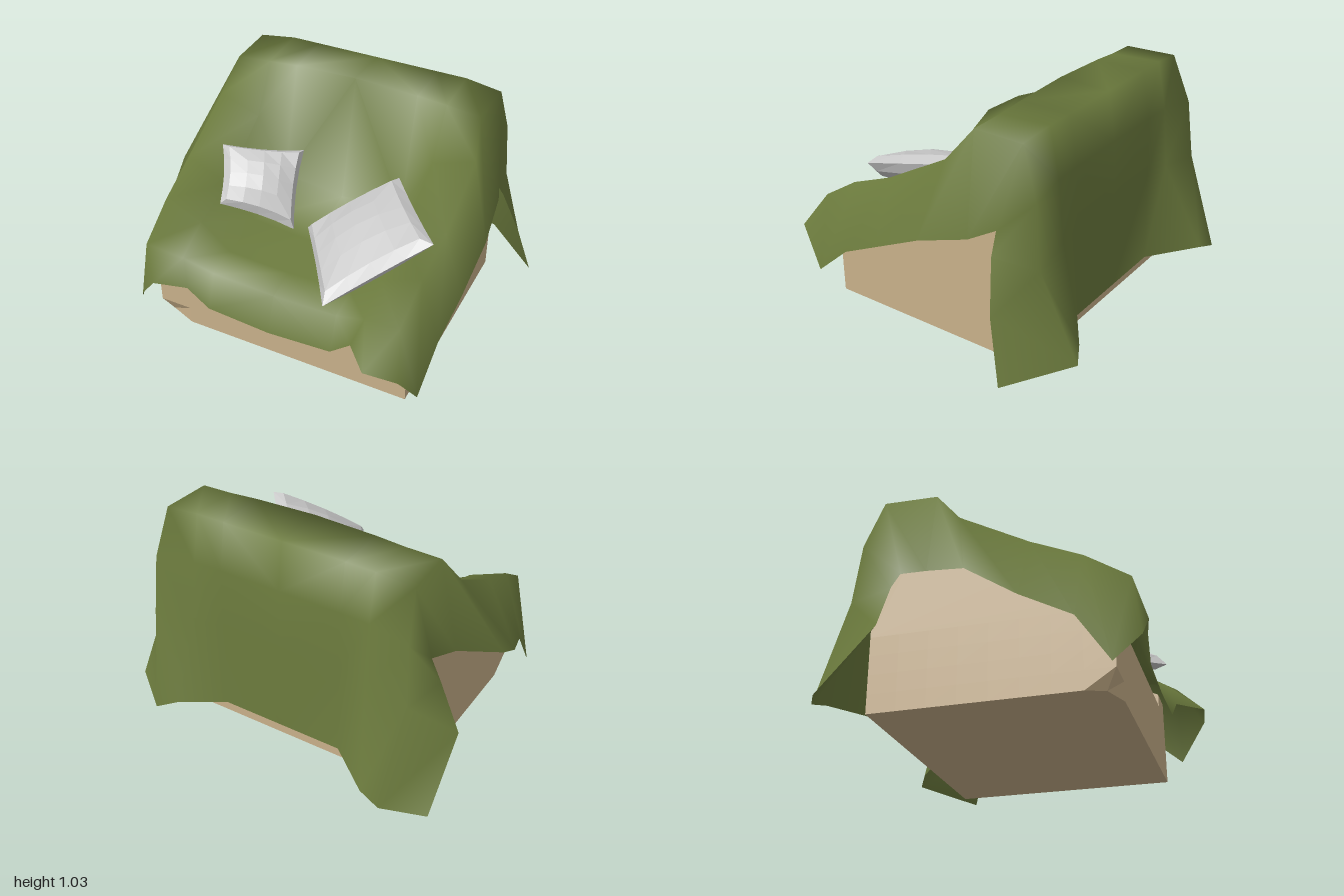
import * as THREE from 'three';

const tan = new THREE.MeshStandardMaterial({ color: 0xc8b08a, flatShading: true });
const grey = new THREE.MeshStandardMaterial({ color: 0xcccccc, flatShading: true });
const cloth = new THREE.MeshStandardMaterial({ color: 0x6b7a3d, side: THREE.DoubleSide });

function add(parent, name, geometry, material) {
  const mesh = new THREE.Mesh(geometry, material);
  mesh.name = name;
  parent.add(mesh);
  return mesh;
}

// Half cross-sections of the blanket, middle to side hem: [y, z, x], x from the column unless given
const columnX = [0, .3, .44, .635];
const sections = [
  [[.09, -.56], [.09, -.56], [.1, -.69, .49], [.07, -.74, .58], [.03, -.53, .84]], // back hem
  [[.52, -.55], [.52, -.55], [.52, -.57], [.5, -.6, .65], [.3, -.45, .78]],        // back
  [[.8, -.54], [.8, -.54], [.8, -.545], [.78, -.57], [.52, -.4, .7]],
  [[1.02, -.5], [1.02, -.5], [1.02, -.5], [1, -.49, .61], [.61, -.385, .645]],     // ridge, back
  [[1.03, -.26], [1.02, -.26], [1.01, -.26], [1, -.25, .6], [.57, -.29, .71]],     // ridge, front
  [[.46, -.13], [.49, -.13], [.78, -.13], [.85, -.13], [.5, -.05, .74]],           // back of seat
  [[.41, .18], [.43, .18], [.59, .18], [.68, .18], [.38, .2, .73]],                // seat
  [[.39, .4], [.4, .4], [.52, .4], [.59, .4, .62], [.28, .4, .71]],
  [[.365, .54], [.38, .54], [.43, .56], [.47, .59, .61], [.12, .585, .7]],         // front lip
  [[.2, .6], [.22, .6], [.31, .61, .4], [.31, .73, .51], [.3, .71, .66]],          // front hem
];
// Where the hem falls differently on the right side, by row and column
const rightHem = {
  '0,2': [.1, -.74, .52], '0,3': [.07, -.76, .62], '0,4': [.03, -.66, .8], '1,4': [.3, -.41, .8],
  '4,4': [.58, -.25, .69], '5,4': [.49, -.04, .82], '6,4': [.36, .17, .79], '7,4': [.27, .38, .73],
  '8,4': [.06, .52, .73], '9,3': [.3, .64, .56], '9,4': [.2, .625, .64],
};

// Mirror each half section and join neighbouring sections with faces
function blanketGeometry() {
  const positions = [], index = [], columns = 9;
  sections.forEach((half, row) => {
    for (let c = -4; c <= 4; c++) {
      const i = Math.abs(c);
      const [y, z, x = columnX[i]] = (c < 0 && rightHem[`${row},${i}`]) || half[i];
      positions.push(Math.sign(c) * x, y, z);
    }
    if (row === 0) return;
    for (let c = 0; c < columns - 1; c++) {
      const a = (row - 1) * columns + c, b = a + 1, d = a + columns, e = d + 1;
      // diagonals mirror about the middle
      if (c < 4) index.push(a, d, b, b, d, e);
      else index.push(a, d, e, a, e, b);
    }
  });
  const g = new THREE.BufferGeometry();
  g.setAttribute('position', new THREE.Float32BufferAttribute(positions, 3));
  g.setIndex(index);
  g.computeVertexNormals();
  return g;
}

// Cushion stretched between four corners, swollen in the middle, with hollow edges
function cushionGeometry(corners, bulge, pinch) {
  const [A, B, C, D] = corners.map((p) => new THREE.Vector3(...p));
  const normal = D.clone().sub(A).cross(B.clone().sub(A)).normalize();
  const g = new THREE.BoxGeometry(2, 2, 2, 4, 2, 4), pos = g.attributes.position;
  const p = new THREE.Vector3();
  for (let i = 0; i < pos.count; i++) {
    const x = pos.getX(i), y = pos.getY(i), z = pos.getZ(i);
    const rim = y === 0 ? 1 : .86;
    const s = (1 + rim * x * (1 - pinch * (1 - z * z))) / 2;
    const t = (1 + rim * z * (1 - pinch * (1 - x * x))) / 2;
    const h = .028 + bulge * (1 - x * x * .7) * (1 - z * z * .7);
    p.set(0, 0, 0)
      .addScaledVector(A, (1 - s) * (1 - t)).addScaledVector(B, s * (1 - t))
      .addScaledVector(C, s * t).addScaledVector(D, (1 - s) * t)
      .addScaledVector(normal, y * h);
    pos.setXYZ(i, p.x, p.y, p.z);
  }
  g.computeVertexNormals();
  return g;
}

// Arm side profile, extruded across the arm's width
function armGeometry(width) {
  const profile = [[-.515, .34], [-.515, .8], [-.3, .8], [-.16, .75], [-.05, .71], [.18, .56], [.35, .48], [.515, .4], [.515, .34]];
  const shape = new THREE.Shape(profile.map(([z, y]) => new THREE.Vector2(-z, y)));
  return new THREE.ExtrudeGeometry(shape, { depth: width, bevelEnabled: false }).rotateY(Math.PI / 2);
}

export function createModel() {
  const model = new THREE.Group();
  model.name = 'coveredArmchair';

  // Chair stands turned on the spot
  const chair = new THREE.Group();
  chair.name = 'chair';
  chair.position.set(-.035, 0, .04);
  chair.rotation.y = -.889;
  model.add(chair);

  // Base, with one lower front corner cut back
  const base = new THREE.BoxGeometry(1.24, .34, 1.03, 8, 4, 8).translate(0, .17, 0);
  const pos = base.attributes.position;
  for (let i = 0; i < pos.count; i++) {
    if (pos.getX(i) < -.61 && pos.getZ(i) > .51 && pos.getY(i) < .01) pos.setXYZ(i, -.59, 0, .47);
  }
  base.computeVertexNormals();
  add(chair, 'base', base, tan);
  add(chair, 'backrest', new THREE.BoxGeometry(1.14, .62, .22).translate(0, .65, -.38), tan);
  for (const side of [-1, 1]) {
    const arm = add(chair, side > 0 ? 'leftArm' : 'rightArm', armGeometry(.14), tan);
    arm.position.x = side > 0 ? .48 : -.62;
  }
  add(chair, 'blanket', blanketGeometry(), cloth);

  // Loose cushions leaning on the arms
  add(model, 'largeCushion', cushionGeometry(
    [[-.17, .45, .1], [.23, .68, .21], [.12, .71, .72], [-.33, .46, .62]], .055, .02), grey);
  add(model, 'smallCushion', cushionGeometry(
    [[-.51, .54, -.12], [-.41, .71, -.33], [-.07, .68, -.17], [-.22, .42, .05]], .06, .07), grey);
  return model;
}
